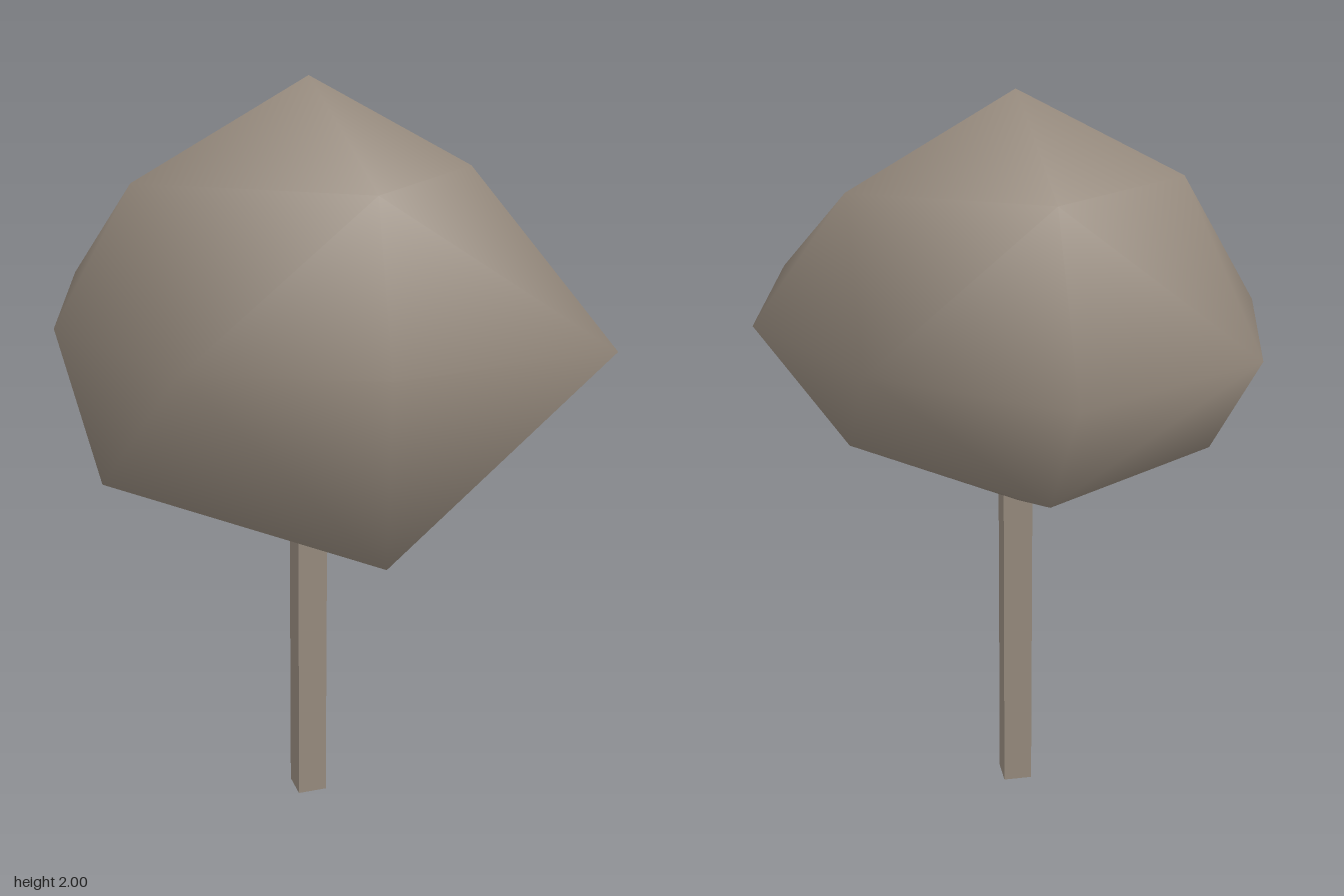
import * as THREE from 'three';
import { mergeVertices } from 'three/addons/utils/BufferGeometryUtils.js';

const CENTRE = new THREE.Vector3(-0.02, 1.42, 0.075);
const SQUASH = 0.77;

// Crown reach in each direction, keyed by the signs of x, y, z
const REACH = {
  '1,0,0': 0.685, '-1,0,0': 0.65, '0,1,0': 0.753, '0,-1,0': 0.7, '0,0,1': 0.62, '0,0,-1': 0.775,
  '1,1,0': 0.435, '-1,1,0': 0.447, '1,-1,0': 0.45, '-1,-1,0': 0.55,
  '0,1,1': 0.508, '0,1,-1': 0.522, '0,-1,1': 0.605, '0,-1,-1': 0.468,
  '1,0,1': 0.575, '-1,0,1': 0.445, '1,0,-1': 0.443, '-1,0,-1': 0.51,
};

// Once-divided octahedron with each vertex pushed in or out, smooth shaded
function crownGeometry() {
  let geo = new THREE.OctahedronGeometry(1, 1);
  geo.deleteAttribute('normal');
  geo.deleteAttribute('uv');
  geo = mergeVertices(geo, 1e-3);
  const pos = geo.attributes.position;
  for (let i = 0; i < pos.count; i++) {
    const s = [pos.getX(i), pos.getY(i), pos.getZ(i)].map((v) => Math.round(v) + 0);
    const r = REACH[s.join(',')];
    pos.setXYZ(i, s[0] * r, s[1] * r * SQUASH, s[2] * r);
  }
  geo.computeVertexNormals();
  return geo;
}

export function createModel() {
  const tree = new THREE.Group();
  tree.name = 'tree';
  const bark = new THREE.MeshStandardMaterial({ color: 0x988c7f });
  bark.name = 'greyBrown';

  const crown = new THREE.Mesh(crownGeometry(), bark);
  crown.name = 'crown';
  crown.position.copy(CENTRE);

  // Square trunk, running a little way into the crown
  const height = 0.98;
  const trunk = new THREE.Mesh(new THREE.BoxGeometry(0.08, height, 0.08), bark);
  trunk.name = 'trunk';
  trunk.position.set(CENTRE.x, height / 2, CENTRE.z);

  tree.add(crown, trunk);
  return tree;
}
